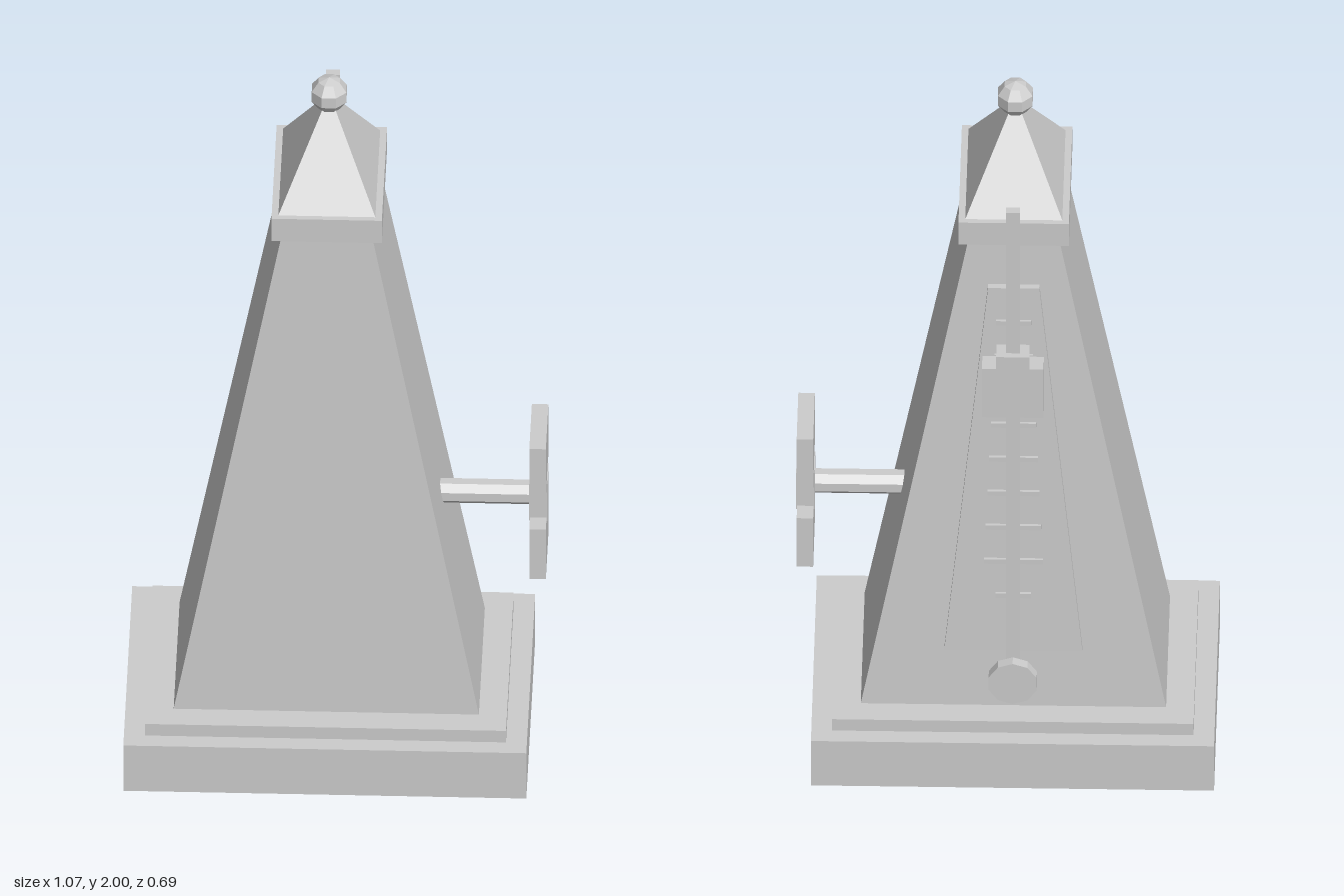
import * as THREE from 'three';

const CX = -0.025; // centre line of the case, pendulum and finial

export function createModel() {
  const model = new THREE.Group();
  model.name = 'metronome';
  const grey = new THREE.MeshStandardMaterial({ color: 0xcccccc, flatShading: true });
  grey.name = 'light grey';

  const add = (name, geometry, parent = model) => {
    const mesh = new THREE.Mesh(geometry, grey);
    mesh.name = name;
    parent.add(mesh);
    return mesh;
  };

  // Block between two levels; each end is [half width, back z, front z]
  const block = (name, y0, y1, low, high = low, parent = model, cx = CX) => {
    const g = new THREE.BoxGeometry(2, 1, 1);
    const p = g.attributes.position;
    for (let i = 0; i < p.count; i++) {
      const [w, zb, zf] = p.getY(i) > 0 ? high : low;
      p.setXYZ(i, cx + p.getX(i) * w, p.getY(i) > 0 ? y1 : y0, p.getZ(i) > 0 ? zf : zb);
    }
    g.computeVertexNormals();
    return add(name, g, parent);
  };

  // Plinth and tapered case
  block('base', 0, 0.142, [0.511, -0.343, 0.343]);
  block('baseStep', 0.142, 0.178, [0.458, -0.298, 0.298]);
  block('case', 0.178, 1.63, [0.387, -0.23, 0.23], [0.115, -0.178, 0.178]);
  block('collar', 1.63, 1.7, [0.14, -0.202, 0.202]);

  // Pyramid roof and faceted finial
  const roof = new THREE.ConeGeometry(Math.SQRT1_2, 1, 4, 1);
  roof.rotateY(Math.PI / 4).scale(0.246, 0.25, 0.374).translate(CX, 1.825, 0);
  add('roof', roof);
  const ball = new THREE.SphereGeometry(0.05, 8, 5);
  ball.rotateY(Math.PI / 8).translate(CX, 1.95, 0);
  add('finial', ball);

  // Scale plate lying on the sloping back, with tick marks
  const scale = new THREE.Group();
  scale.name = 'scale';
  model.add(scale);
  block('scalePlate', 0.36, 1.49, [0.175, -0.238, -0.215], [0.065, -0.2, -0.18], CX && scale);
  for (let i = 0; i < 9; i++) {
    const y = 0.535 + i * 0.1063;
    const z = -0.238 + (y - 0.36) * 0.0336;
    const w = i === 0 ? 0.045 : 0.079 - i * 0.0043;
    block('tick', y - 0.007, y + 0.007, [w, z - 0.007, z + 0.01], undefined, scale);
  }

  // Pendulum with sliding weight and bob
  const pendulum = new THREE.Group();
  pendulum.name = 'pendulum';
  model.add(pendulum);
  block('rod', 0.285, 1.807, [0.018, -0.298, -0.275], undefined, pendulum);
  block('weight', 1.165, 1.32, [0.078, -0.315, -0.262], undefined, pendulum);
  block('weightTop', 1.32, 1.358, [0.042, -0.315, -0.262], undefined, pendulum);
  const bob = new THREE.CylinderGeometry(0.064, 0.064, 0.028, 10);
  bob.rotateX(Math.PI / 2).translate(CX, 0.32, -0.312);
  add('bob', bob, pendulum);

  // Winding key on the left side
  const key = new THREE.Group();
  key.name = 'windingKey';
  model.add(key);
  const shaft = new THREE.CylinderGeometry(0.032, 0.032, 0.24, 8);
  shaft.rotateY(Math.PI / 8).rotateZ(Math.PI / 2).translate(0.375, 0.712, 0);
  add('keyShaft', shaft, key);
  block('keyNeck', 0.655, 0.77, [0.0235, -0.045, 0.045], undefined, key, 0.5065);
  for (const [y0, y1] of [[0.51, 0.665], [0.76, 0.917]]) {
    block('keyWing', y0, y1, [0.021, -0.097, 0.097], undefined, key, 0.5065);
  }

  return model;
}
